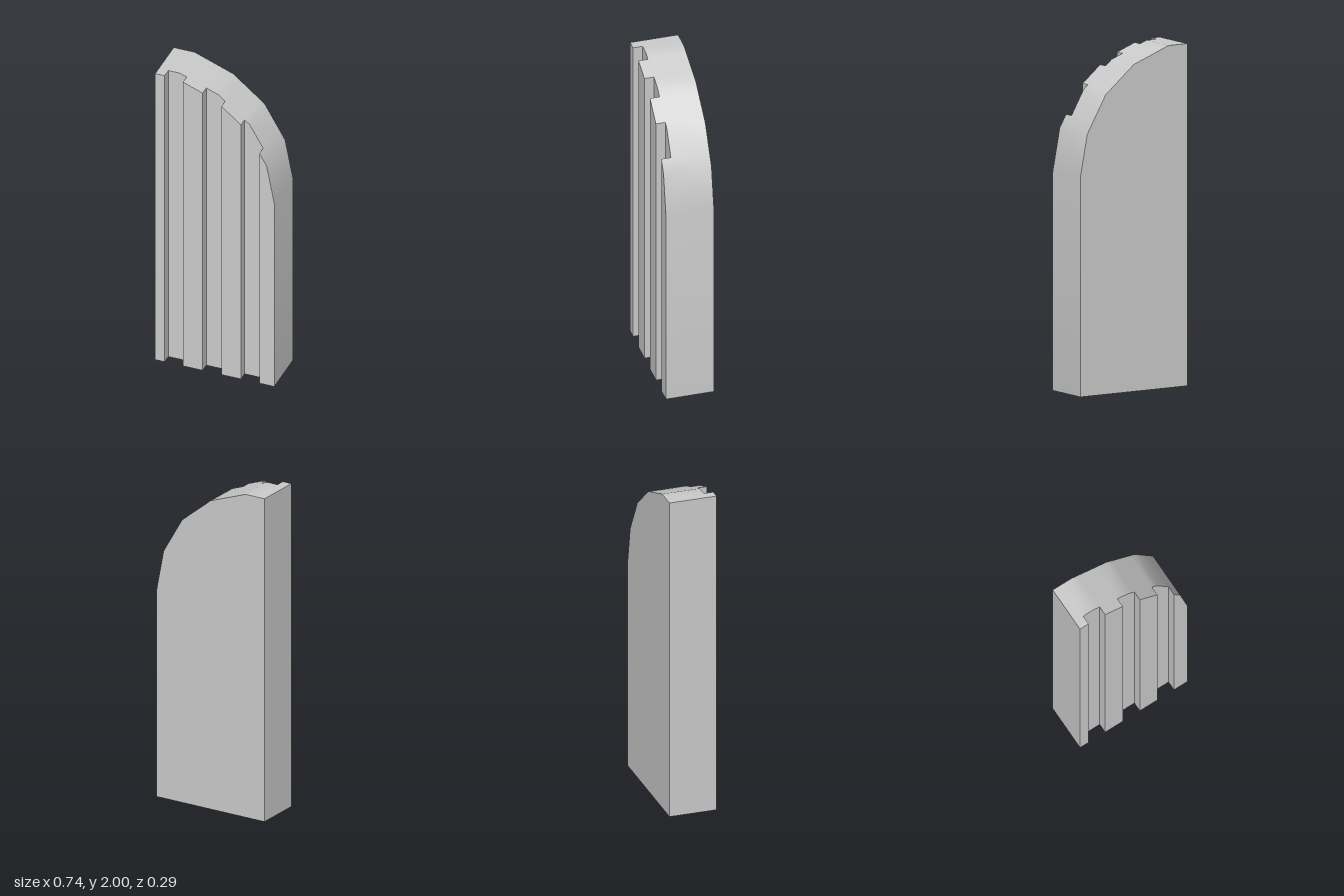
import * as THREE from 'three';
import { toCreasedNormals } from 'three/addons/utils/BufferGeometryUtils.js';

// Arched top edge, from the straight side to the rounded side
const ARCH = [[-0.37, 2], [-0.24, 2], [0, 1.91], [0.195, 1.75], [0.322, 1.53], [0.37, 1.28]];
// Vertical grooves cut into the front face: [start x, end x]
const GROOVES = [[-0.311, -0.197], [-0.075, 0.042], [0.163, 0.278]];
const BACK = -0.144, FLOOR = 0.087, FRONT = 0.144;

function archHeight(x) {
  const i = Math.max(1, ARCH.findIndex(p => p[0] >= x));
  const [x0, y0] = ARCH[i - 1], [x1, y1] = ARCH[i];
  return y0 + (y1 - y0) * (x - x0) / (x1 - x0);
}

export function createModel() {
  const positions = [];
  // Corners run anticlockwise seen from outside
  const quad = (a, b, c, d) => positions.push(...a, ...b, ...c, ...a, ...c, ...d);

  // Side wall at x between two depths, facing +x or -x
  const wall = (x, z0, z1, facing) => {
    const y = archHeight(x);
    const [p, q] = facing > 0 ? [z1, z0] : [z0, z1];
    quad([x, 0, p], [x, 0, q], [x, y, q], [x, y, p]);
  };

  // Columns between all arch corners and groove edges
  const xs = [...ARCH.map(p => p[0]), ...GROOVES.flat()].sort((a, b) => a - b);
  for (let i = 0; i < xs.length - 1; i++) {
    const l = xs[i], r = xs[i + 1], mid = (l + r) / 2;
    const yl = archHeight(l), yr = archHeight(r);
    const grooved = GROOVES.some(([a, b]) => mid > a && mid < b);
    const zf = grooved ? FLOOR : FRONT;

    quad([l, 0, zf], [r, 0, zf], [r, yr, zf], [l, yl, zf]);         // front
    quad([r, 0, BACK], [l, 0, BACK], [l, yl, BACK], [r, yr, BACK]); // back
    const layers = grooved ? [[BACK, FLOOR]] : [[BACK, FLOOR], [FLOOR, FRONT]];
    for (const [z0, z1] of layers) {
      quad([l, yl, z1], [r, yr, z1], [r, yr, z0], [l, yl, z0]);     // top
      quad([l, 0, z0], [r, 0, z0], [r, 0, z1], [l, 0, z1]);         // bottom
    }
  }

  // Groove sides
  for (const [a, b] of GROOVES) {
    wall(a, FLOOR, FRONT, 1);
    wall(b, FLOOR, FRONT, -1);
  }
  // Outer ends
  for (const [z0, z1] of [[BACK, FLOOR], [FLOOR, FRONT]]) {
    wall(xs[0], z0, z1, -1);
    wall(xs[xs.length - 1], z0, z1, 1);
  }

  const geometry = new THREE.BufferGeometry();
  geometry.setAttribute('position', new THREE.Float32BufferAttribute(positions, 3));

  // Smooth over the arch, sharp everywhere else
  const panel = new THREE.Mesh(
    toCreasedNormals(geometry, 0.6),
    new THREE.MeshStandardMaterial({ color: 0xcccccc })
  );
  panel.name = 'groovedArchPanel';

  const group = new THREE.Group();
  group.name = 'archedPanel';
  group.add(panel);
  return group;
}
